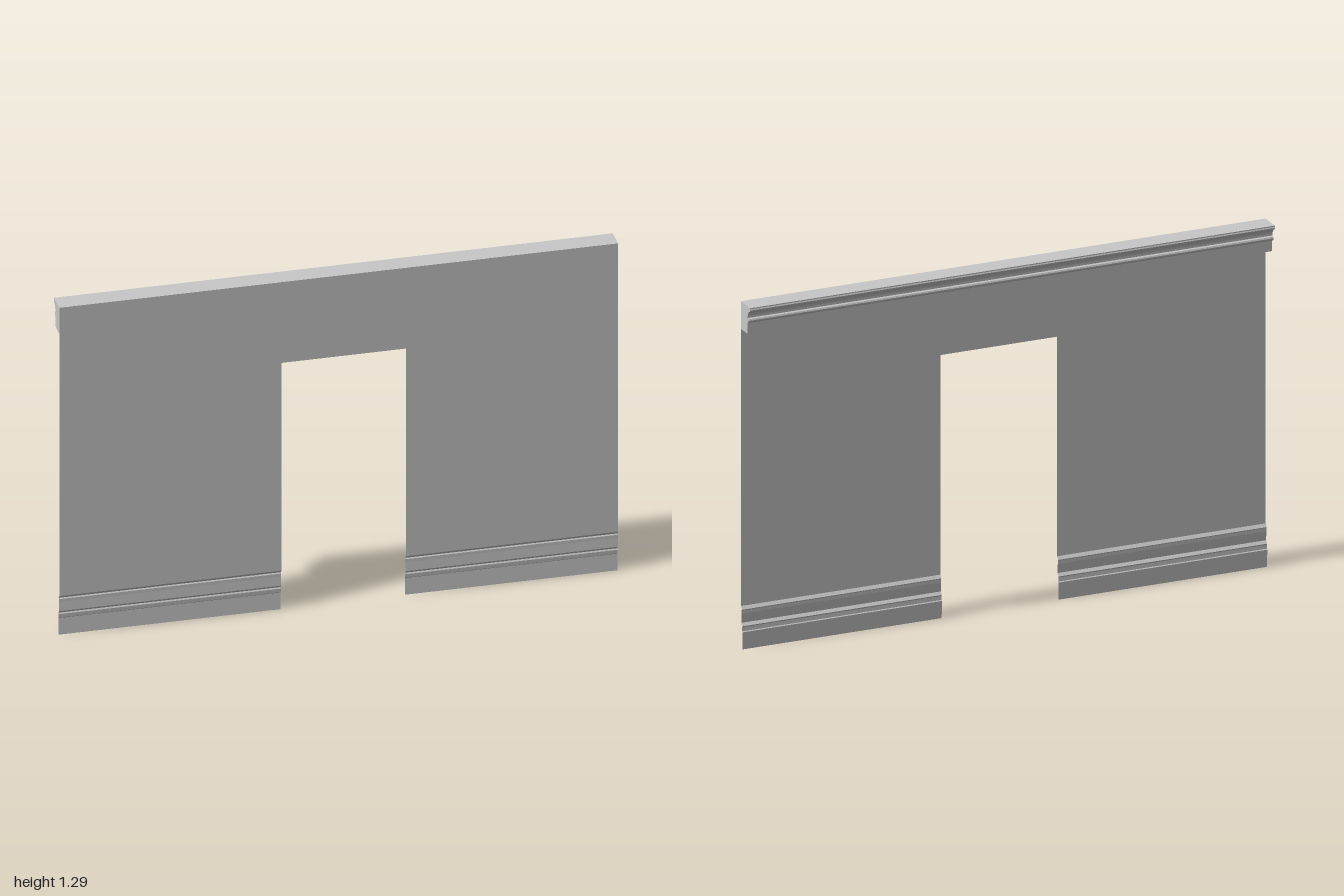
import * as THREE from 'three';

const WALL_Z = 0.04;
const DOOR_LEFT = 0.24, DOOR_RIGHT = -0.205, DOOR_TOP = 0.97;
const SKIRT_TOP = 0.157, CORNICE_BOTTOM = 1.184, TOP = 1.286;

// Cornice section as [distance towards the back, height]
const CORNICE = [
  [-0.04, CORNICE_BOTTOM], [0.015, CORNICE_BOTTOM], [0.015, 1.223], [0.02, 1.225],
  [0.025, 1.23], [0.026, 1.235], [0.024, 1.24], [0.018, 1.243],
  [0.018, 1.251], [0.021, 1.26], [0.026, 1.267], [0.033, 1.27],
  [0.038, 1.273], [0.04, 1.278], [0.038, 1.282], [0.038, TOP], [-0.04, TOP],
];

// Skirting section as [z, height], from the wall down to the floor
const SKIRTING = [
  [WALL_Z, SKIRT_TOP], [0.031, 0.146], [0.034, 0.142], [0.034, 0.13], [0.036, 0.096],
  [0.027, 0.086], [0.03, 0.081], [0.029, 0.067], [0.026, 0.064], [0.028, 0],
];

// Open moulded strip between two x positions
function skirtingStrip(x0, x1) {
  const plane = new THREE.PlaneGeometry(x1 - x0, 1, 1, SKIRTING.length - 1);
  const pos = plane.attributes.position;
  for (let i = 0; i < pos.count; i++) {
    const [z, y] = SKIRTING[Math.floor(i / 2)];
    pos.setXYZ(i, i % 2 ? x1 : x0, y, z);
  }
  const geometry = plane.toNonIndexed();
  geometry.computeVertexNormals();
  return geometry;
}

export function createModel() {
  const group = new THREE.Group();
  const plaster = new THREE.MeshStandardMaterial({ color: 0xc8c8c8, side: THREE.DoubleSide });
  plaster.name = 'grey plaster';

  const add = (name, geometry) => {
    const mesh = new THREE.Mesh(geometry, plaster);
    mesh.name = name;
    group.add(mesh);
  };

  // Thin wall sheet around the doorway
  const outline = [
    [-1, SKIRT_TOP], [DOOR_RIGHT, SKIRT_TOP], [DOOR_RIGHT, DOOR_TOP], [DOOR_LEFT, DOOR_TOP],
    [DOOR_LEFT, SKIRT_TOP], [1, SKIRT_TOP], [1, CORNICE_BOTTOM], [-1, CORNICE_BOTTOM],
  ].map(([x, y]) => new THREE.Vector2(x, y));
  add('wall', new THREE.ShapeGeometry(new THREE.Shape(outline)).translate(0, 0, WALL_Z));

  // Skirting on each side of the doorway
  add('rightSkirting', skirtingStrip(-1, DOOR_RIGHT));
  add('leftSkirting', skirtingStrip(DOOR_LEFT, 1));

  // Moulded cornice along the top, flush with the wall's front
  const section = new THREE.Shape(CORNICE.map(([d, y]) => new THREE.Vector2(d, y)));
  const cornice = new THREE.ExtrudeGeometry(section, { depth: 2, bevelEnabled: false });
  cornice.rotateY(Math.PI / 2).translate(-1, 0, 0);
  add('cornice', cornice);

  return group;
}
